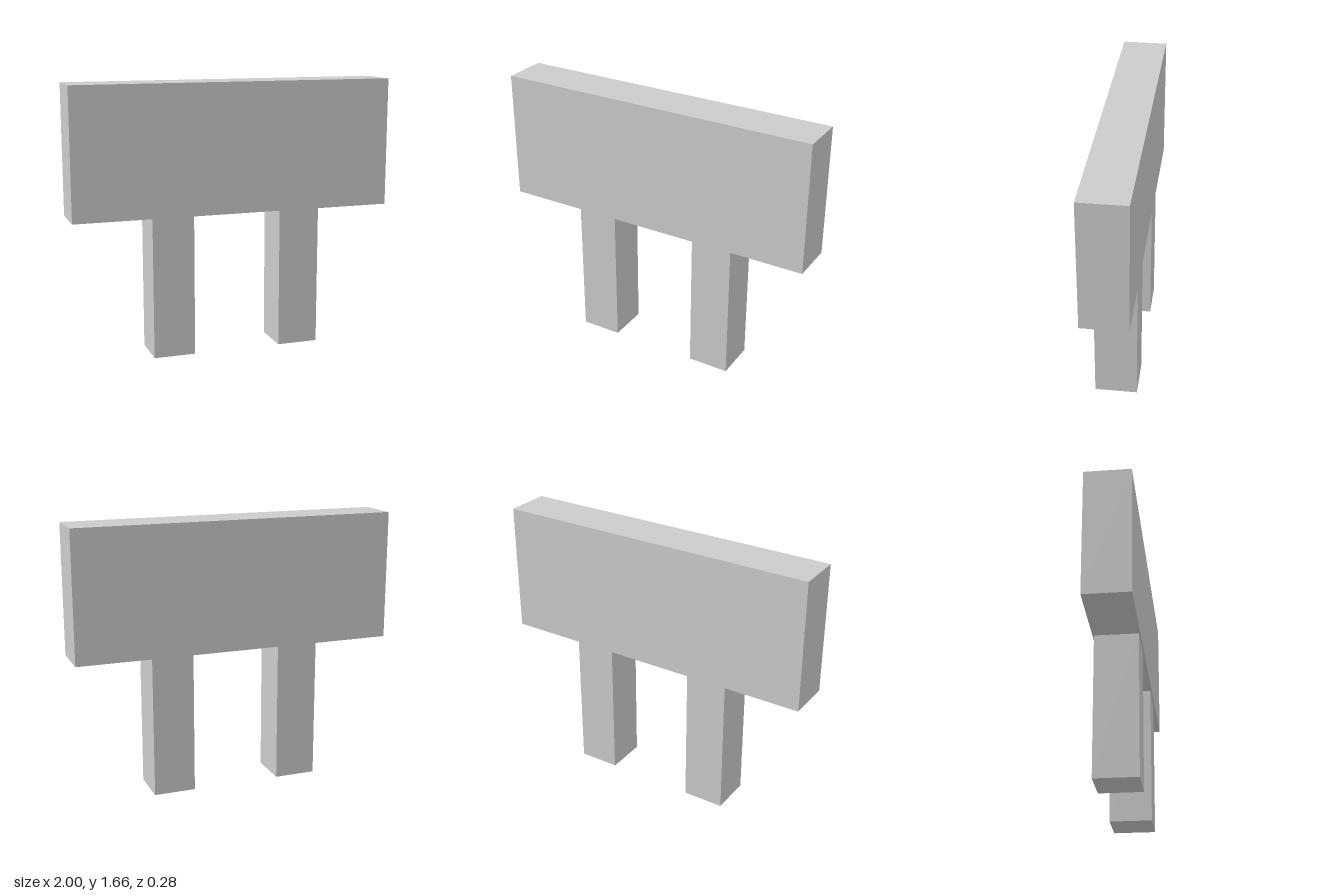
import * as THREE from 'three';

const material = new THREE.MeshStandardMaterial({ color: 0xcccccc, flatShading: true });

// Box standing on height y
function block(name, width, height, depth, x, y) {
  const mesh = new THREE.Mesh(new THREE.BoxGeometry(width, height, depth), material);
  mesh.name = name;
  mesh.position.set(x, y + height / 2, 0);
  return mesh;
}

export function createModel() {
  const group = new THREE.Group();
  group.name = 'signboard';
  const legHeight = 0.865;

  // Wide board on top
  group.add(block('board', 2, 0.795, 0.277, 0, legHeight));

  // Two square posts, set slightly off centre
  group.add(block('rightPost', 0.257, legHeight, 0.26, -0.394, 0));
  group.add(block('leftPost', 0.257, legHeight, 0.26, 0.413, 0));

  return group;
}
